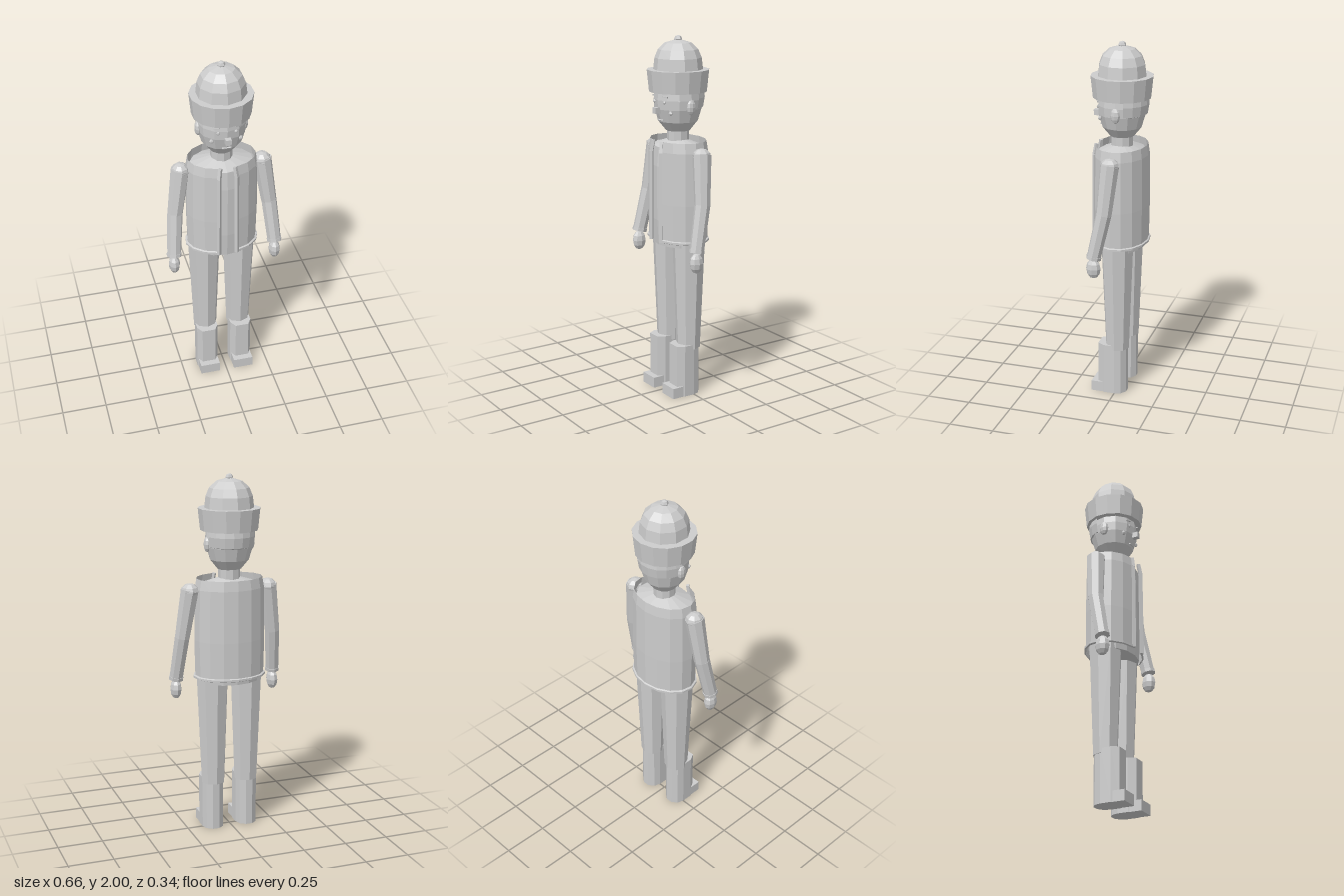
import * as THREE from 'three';

export function createModel() {
  const root = new THREE.Group();
  root.name = 'standingFigure';
  const grey = new THREE.MeshStandardMaterial({ color: 0xcccccc, flatShading: true, side: THREE.DoubleSide });
  grey.name = 'plainGrey';

  const add = (name, geo, x = 0, y = 0, z = 0) => {
    const m = new THREE.Mesh(geo, grey);
    m.name = name;
    m.position.set(x, y, z);
    root.add(m);
    return m;
  };
  const ball = (name, x, y, z, rx, ry, rz, w = 8, h = 6) => {
    const m = add(name, new THREE.SphereGeometry(1, w, h), x, y, z);
    m.scale.set(rx, ry, rz);
    return m;
  };
  const box = (name, x, y, z, w, h, d) => add(name, new THREE.BoxGeometry(w, h, d), x, y, z);
  // Revolved profile, optionally open at the front and flattened in depth
  const lathe = (name, pts, sides, gap = 0, depth = 1) => {
    const p = pts.map(([r, y]) => new THREE.Vector2(r, y));
    const m = add(name, new THREE.LatheGeometry(p, sides, gap, Math.PI * 2 - 2 * gap));
    m.scale.z = depth;
    return m;
  };
  // Tapered limb between two points
  const limb = (name, a, b, ra, rb, sides = 8) => {
    const A = new THREE.Vector3(...a), B = new THREE.Vector3(...b);
    const m = add(name, new THREE.CylinderGeometry(ra, rb, A.distanceTo(B), sides));
    m.position.copy(A).add(B).multiplyScalar(0.5);
    m.quaternion.setFromUnitVectors(new THREE.Vector3(0, 1, 0), A.sub(B).normalize());
    return m;
  };

  // Hat
  lathe('hatBrim', [[0, 1.7], [0.158, 1.7], [0.17, 1.818], [0, 1.818]], 14);
  lathe('hatDome', [[0.135, 1.81], [0.127, 1.88], [0.108, 1.925], [0.071, 1.96], [0, 1.98]], 10);
  ball('hatKnob', 0, 1.979, 0, 0.022, 0.021, 0.022, 6, 4);

  // Head
  lathe('head', [[0, 1.48], [0.066, 1.488], [0.108, 1.54], [0.129, 1.61], [0.132, 1.66], [0.125, 1.72]], 12);
  lathe('neck', [[0.06, 1.4], [0.06, 1.5]], 10);
  const hair = add('hair', new THREE.LatheGeometry(
    [[0.115, 1.605], [0.138, 1.615], [0.147, 1.67], [0.143, 1.71]].map(p => new THREE.Vector2(...p)),
    7, Math.PI * 0.6, Math.PI * 0.8));
  hair.scale.x = 0.95;
  box('nose', 0, 1.606, 0.138, 0.03, 0.032, 0.036);
  const mouth = add('mouth', new THREE.BoxGeometry(0.05, 0.007, 0.008), 0, 1.55, 0.112);
  mouth.rotation.x = 0.4;

  // Jacket and body
  const D = 0.74;
  lathe('body', [[0, 0.86], [0.172, 0.86], [0.185, 1.0], [0.186, 1.3], [0.172, 1.405], [0.06, 1.44]], 14, 0, D);
  lathe('jacket', [[0.195, 0.885], [0.2, 1.1], [0.196, 1.385], [0.186, 1.44]], 14, 0.25, D);
  lathe('jacketHem', [[0.195, 0.882], [0.206, 0.886], [0.206, 0.897], [0.195, 0.901]], 14, 0.25, D);

  for (const s of [1, -1]) {
    // Face details
    ball('ear', s * 0.127, 1.625, 0, 0.018, 0.042, 0.027);
    ball('cheek', s * 0.078, 1.595, 0.1, 0.013, 0.013, 0.01, 6, 4);
    ball('eye', s * 0.048, 1.65, 0.121, 0.01, 0.01, 0.007, 6, 4);
    const brow = box('eyebrow', s * 0.055, 1.682, 0.12, 0.032, 0.007, 0.008);
    brow.rotation.set(0, s * 0.4, s * -0.1);

    // Front edging of the jacket
    limb('jacketEdging', [s * 0.048, 1.38, 0.142], [s * 0.05, 0.885, 0.145], 0.013, 0.013, 4);
    limb('jacketEdgingTop', [s * 0.04, 1.44, 0.133], [s * 0.048, 1.38, 0.142], 0.012, 0.013, 4);

    // Arm
    ball('shoulder', s * 0.226, 1.375, 0, 0.05, 0.045, 0.053);
    limb('upperArm', [s * 0.226, 1.385, 0], [s * 0.265, 1.115, 0.022], 0.052, 0.043);
    limb('forearm', [s * 0.265, 1.12, 0.022], [s * 0.287, 0.875, 0.073], 0.043, 0.039);
    limb('cuff', [s * 0.286, 0.888, 0.07], [s * 0.287, 0.87, 0.074], 0.042, 0.042);
    ball('hand', s * 0.288, 0.813, 0.075, 0.032, 0.056, 0.041);

    // Leg
    limb('trouserLeg', [s * 0.1, 0.89, -0.002], [s * 0.098, 0.27, -0.002], 0.091, 0.067);

    // Boot: rounded heel, bevelled front, slightly wider at the foot
    const outline = new THREE.Shape();
    const n = 5;
    for (let i = 0; i <= n; i++) {
      const a = Math.PI * i / n;
      outline[i ? 'lineTo' : 'moveTo'](0.061 * Math.cos(a), 0.062 * Math.sin(a));
    }
    outline.lineTo(-0.061, -0.06);
    outline.lineTo(-0.038, -0.1);
    outline.lineTo(0.038, -0.1);
    outline.lineTo(0.061, -0.06);
    const shaft = new THREE.ExtrudeGeometry(outline, { depth: 0.297, bevelEnabled: false });
    shaft.rotateX(-Math.PI / 2);
    add('bootShaft', shaft, s * 0.1, 0, 0);
    box('bootToe', s * 0.1, 0.03, 0.068, 0.113, 0.06, 0.136);
  }
  return root;
}
